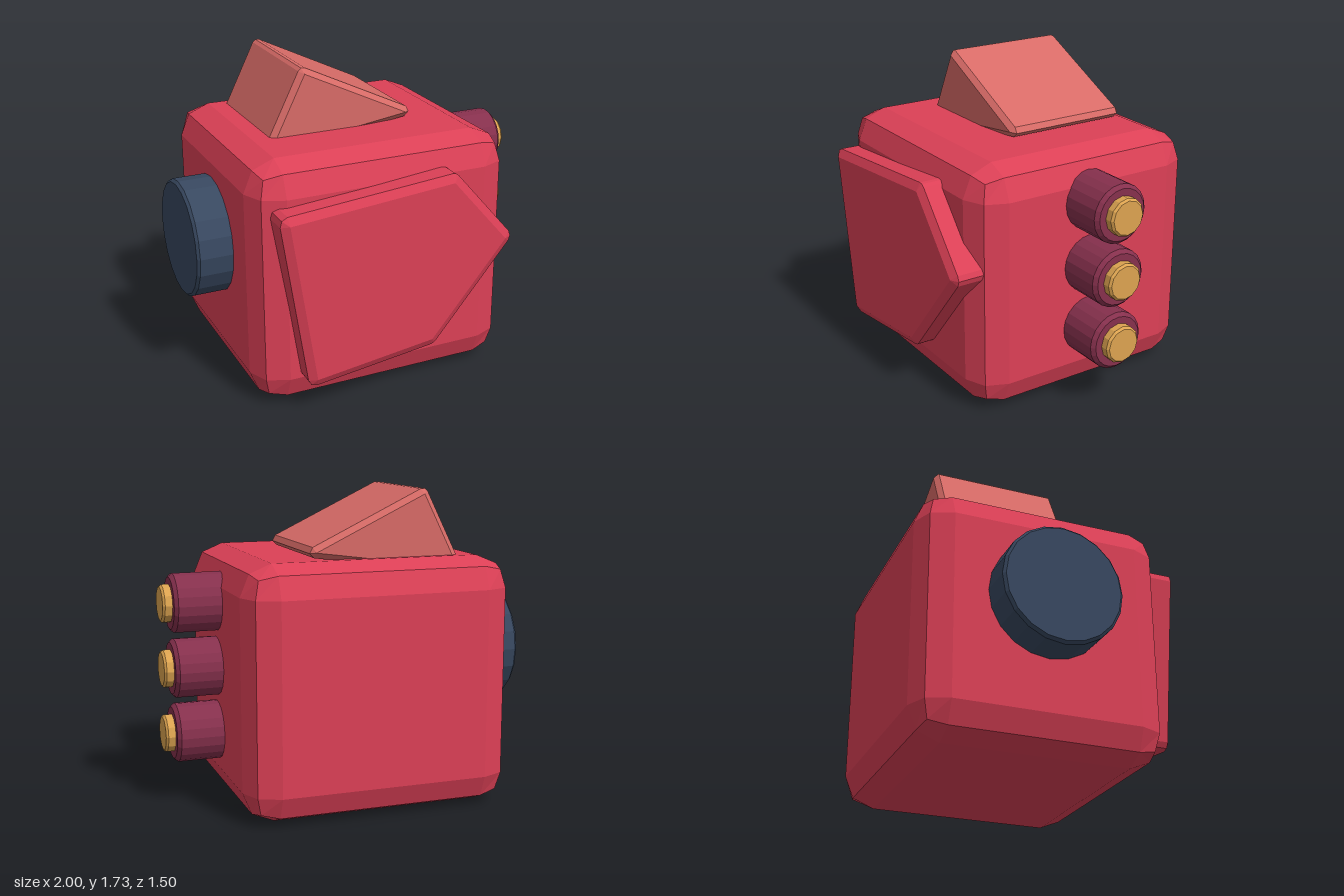
import * as THREE from 'three';
import { RoundedBoxGeometry } from 'three/addons/geometries/RoundedBoxGeometry.js';
import { ConvexGeometry } from 'three/addons/geometries/ConvexGeometry.js';

const material = (name, color) => {
  const m = new THREE.MeshStandardMaterial({ color });
  m.name = name;
  return m;
};

// Faceted normals on any geometry
function faceted(geometry) {
  const g = geometry.index ? geometry.toNonIndexed() : geometry;
  g.computeVertexNormals();
  return g;
}

// Convex slab between z0 and z1: sharp end faces (clockwise points), grown by r with chamfered rims
function chamferedSlab(corners, r, z0, z1, chamfer) {
  const pts = corners.map(([x, y]) => new THREE.Vector2(x, y));
  const normal = (a, b) => new THREE.Vector2(-(b.y - a.y), b.x - a.x).normalize();
  const cloud = [];
  pts.forEach((p, i) => {
    const before = normal(pts[(i + pts.length - 1) % pts.length], p);
    const after = normal(p, pts[(i + 1) % pts.length]);
    const middle = before.clone().add(after).normalize();
    for (const z of [z0, z1]) cloud.push(new THREE.Vector3(p.x, p.y, z));
    for (const n of [before, middle, after]) {
      for (const z of [z0 + chamfer, z1 - chamfer]) {
        cloud.push(new THREE.Vector3(p.x + n.x * r, p.y + n.y * r, z));
      }
    }
  });
  return new ConvexGeometry(cloud);
}

// Disc along x from x0 to x1 with chamfered rims
function chamferedDisc(radius, x0, x1, chamfer, sides) {
  const profile = [
    [0, x0], [radius - chamfer, x0], [radius, x0 + chamfer],
    [radius, x1 - chamfer], [radius - chamfer, x1], [0, x1],
  ].map(([r, x]) => new THREE.Vector2(r, x));
  return faceted(new THREE.LatheGeometry(profile, sides).rotateZ(-Math.PI / 2));
}

export function createModel() {
  const model = new THREE.Group();
  model.name = 'fidgetCube';
  const red = material('cherry red', 0xdc4056);
  const coral = material('coral', 0xd86b67);
  const plum = material('plum', 0x86304d);
  const gold = material('gold', 0xdca350);
  const navy = material('navy', 0x384860);

  const add = (name, geometry, mat, parent = model) => {
    const mesh = new THREE.Mesh(geometry, mat);
    mesh.name = name;
    parent.add(mesh);
    return mesh;
  };

  // Main cube with two-facet rounded edges
  const body = add('body', faceted(new RoundedBoxGeometry(1.49, 1.37, 1.37, 1, 0.17)), red);
  body.position.set(-0.055, 0.685, -0.065);

  // Five-sided plate on the front
  add('frontPlate', chamferedSlab(
    [[-0.665, 1.11], [0.265, 1.19], [0.592, 0.815], [0.155, 0.295], [-0.525, 0.21]],
    0.045, 0.5, 0.745, 0.025), red);

  // Tilted rocker switch on top
  add('rockerSwitch', chamferedSlab(
    [[-0.335, 1.7], [0.27, 1.41], [-0.535, 1.3]],
    0.03, -0.555, 0.17, 0.025), coral);

  // Round dial on the right side
  add('sideDial', chamferedDisc(0.33, -1, -0.7, 0.015, 20), navy)
    .position.set(0, 0.79, -0.065);

  // Three push buttons on the left side
  for (const y of [1.11, 0.75, 0.387]) {
    const button = new THREE.Group();
    button.name = 'pushButton';
    button.position.set(0, y, -0.065);
    add('buttonCollar', chamferedDisc(0.163, 0.58, 0.948, 0.02, 20), plum, button);
    add('buttonCap', chamferedDisc(0.105, 0.93, 1, 0.012, 12), gold, button);
    model.add(button);
  }

  return model;
}
